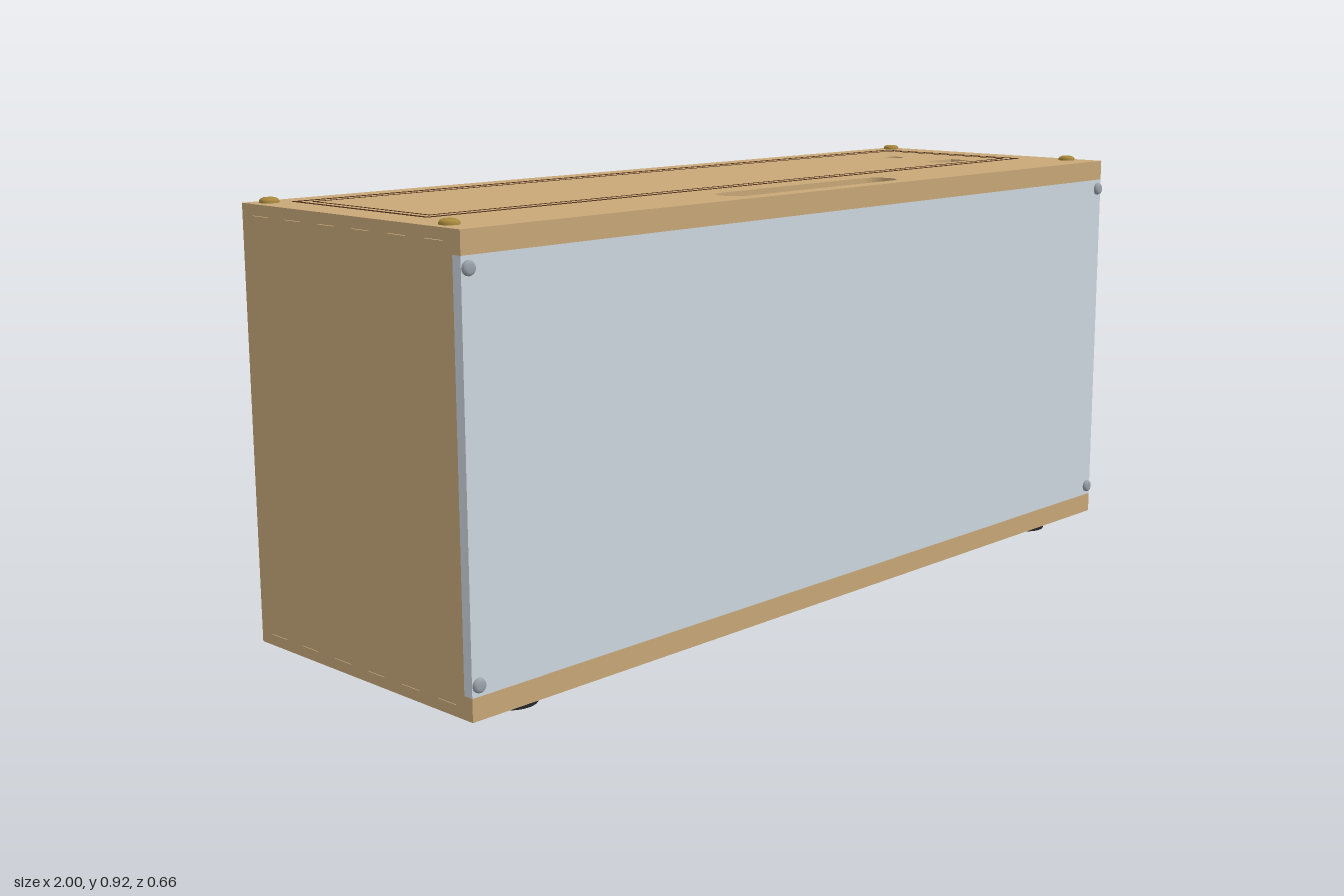
import * as THREE from 'three';

const WOOD = 0xc8a878, T = 0.022;
const Y = [0.025, 0.047, 0.07, 0.86, 0.883, 0.905]; // layer heights, bottom to top
const BACK = -0.33, FRONT = 0.325, PANEL = 0.303;

const mat = (color) => new THREE.MeshStandardMaterial({ color });

// Every second interval of an evenly divided edge
function fingers(a, b, n, first) {
  const s = (b - a) / n, out = [];
  for (let i = first; i < n; i += 2) out.push([a + i * s, a + (i + 1) * s]);
  return out;
}

// Rectangle whose edges carry tabs (d > 0) or notches (d < 0)
function jointed(x0, y0, x1, y1, d, { bottom = [], right = [], top = [], left = [] }) {
  const pts = [];
  const add = (x, y) => {
    const p = pts[pts.length - 1];
    if (!p || Math.hypot(p.x - x, p.y - y) > 1e-5) pts.push(new THREE.Vector2(x, y));
  };
  const flip = (list) => list.map(([a, b]) => [b, a]).reverse();
  const across = (list, y, o) => list.forEach(([a, b]) => { add(a, y); add(a, y + o); add(b, y + o); add(b, y); });
  const along = (list, x, o) => list.forEach(([a, b]) => { add(x, a); add(x + o, a); add(x + o, b); add(x, b); });
  add(x0, y0); across(bottom, y0, -d);
  add(x1, y0); along(right, x1, d);
  add(x1, y1); across(flip(top), y1, d);
  add(x0, y1); along(flip(left), x0, -d);
  if (pts[0].distanceTo(pts[pts.length - 1]) < 1e-5) pts.pop();
  return new THREE.Shape(pts);
}

const circle = (x, y, r) => new THREE.Path().absarc(x, y, r, 0, Math.PI * 2, true);

function rect(x0, y0, x1, y1, Kind = THREE.Path) {
  return new Kind([[x0, y0], [x1, y0], [x1, y1], [x0, y1]].map((p) => new THREE.Vector2(...p)));
}

// Slot with round ends; w and h are its full sizes
function slot(x, y, w, h) {
  const r = Math.min(w, h) / 2, dx = w / 2 - r, dy = h / 2 - r, p = new THREE.Path();
  if (w > h) {
    p.absarc(x + dx, y, r, -Math.PI / 2, Math.PI / 2, false);
    p.absarc(x - dx, y, r, Math.PI / 2, Math.PI * 1.5, false);
  } else {
    p.absarc(x, y + dy, r, 0, Math.PI, false);
    p.absarc(x, y - dy, r, Math.PI, Math.PI * 2, false);
  }
  p.closePath();
  return p;
}

const extrude = (shape, depth) =>
  new THREE.ExtrudeGeometry(shape, { depth, bevelEnabled: false, curveSegments: 20 });

export function createModel() {
  const model = new THREE.Group();
  const wood = mat(WOOD);
  const add = (name, geometry, material, x = 0, y = 0, z = 0) => {
    const m = new THREE.Mesh(geometry, material);
    m.name = name;
    m.position.set(x, y, z);
    model.add(m);
    return m;
  };

  // Finger positions shared by neighbouring boards
  const zTabs = [];
  for (let k = 5; k >= 0; k--) zTabs.push([0.227 - 0.1046 * k, 0.279 - 0.1046 * k]);
  const xTabs = fingers(-1, 1, 19, 1);
  const yBack = fingers(Y[2], Y[3], 9, 1), ySide = fingers(Y[2], Y[3], 9, 0);

  // Side boards
  const side = jointed(BACK + T, Y[2], PANEL, Y[3], T, { top: zTabs, bottom: zTabs, left: ySide });
  const sideGeo = extrude(side, T).rotateY(-Math.PI / 2);
  add('leftSide', sideGeo, wood, 1);
  add('rightSide', sideGeo, wood, -1 + T);

  // Back board with vents and socket holes
  const back = jointed(-1 + T, Y[2], 1 - T, Y[3], T, { top: xTabs, bottom: xTabs, left: yBack, right: yBack });
  for (let i = 0; i < 9; i++) back.holes.push(slot(-0.19 - i * 0.06, 0.683, 0.018, 0.175));
  back.holes.push(circle(-0.816, 0.737, 0.024), circle(0.526, 0.245, 0.027), circle(0.81, 0.249, 0.02));
  add('backBoard', extrude(back, T), wood, 0, 0, BACK);

  // Top and bottom, each an outer board and a notched inner board
  const topHoles = () => [slot(0, 0.245, 0.54, 0.08), circle(0.74, -0.11, 0.022), rect(0.69, 0.028, 0.79, 0.08)];
  const bottomHoles = () => [-0.41, 0.41].flatMap((x) => [0.245, 0.277].map((z) => circle(x, z, 0.007)));
  const layer = (name, y0, y1, notched, holes) => {
    const s = jointed(-1, BACK, 1, FRONT, -T, notched ? { bottom: xTabs, left: zTabs, right: zTabs } : {});
    s.holes.push(...holes);
    add(name, extrude(s, y1 - y0).rotateX(Math.PI / 2), wood, 0, y1);
  };
  layer('bottomOuterBoard', Y[0], Y[1], false, bottomHoles());
  layer('bottomInnerBoard', Y[1], Y[2], true, bottomHoles());
  layer('topInnerBoard', Y[3], Y[4], true, topHoles());
  layer('topOuterBoard', Y[4], Y[5], false, topHoles());

  // Dark outlines of the lid
  const dark = mat(0x4f2f1c);
  const outline = (name, x0, z0, x1, z1, w) => {
    const s = rect(x0, z0, x1, z1, THREE.Shape);
    s.holes.push(rect(x0 + w, z0 + w, x1 - w, z1 - w));
    add(name, extrude(s, 0.001).rotateX(Math.PI / 2), dark, 0, Y[5] + 0.0008);
  };
  outline('lidOuterLine', -0.924, -0.276, 0.92, 0.14, 0.008);
  outline('lidInnerLine', -0.897, -0.247, 0.893, 0.112, 0.004);

  // Front panel
  add('frontPanel', new THREE.BoxGeometry(2, Y[3] - Y[2], FRONT - PANEL), mat(0xcdd6df),
    0, (Y[2] + Y[3]) / 2, (FRONT + PANEL) / 2);

  // Screws and feet, one in each corner
  const screw = (r, h) => new THREE.LatheGeometry(
    [[r, 0], [r, h * 0.4], [r * 0.9, h * 0.75], [r * 0.6, h], [0, h]].map((p) => new THREE.Vector2(...p)), 20);
  const topScrew = screw(0.019, 0.01);
  const frontScrew = screw(0.014, 0.009).rotateX(Math.PI / 2);
  const foot = new THREE.CylinderGeometry(0.046, 0.052, Y[0], 28);
  const brass = mat(0xa8883c), steel = mat(0x9aa2ac), rubber = mat(0x222224);
  for (const s of [-1, 1]) {
    for (const z of [-0.295, 0.25]) add('topScrew', topScrew, brass, s * 0.962, Y[5], z);
    for (const y of [0.092, 0.838]) add('frontScrew', frontScrew, steel, s * 0.985, y, FRONT);
    for (const z of [-0.241, 0.237]) add('foot', foot, rubber, s * 0.837, Y[0] / 2, z);
  }
  return model;
}
